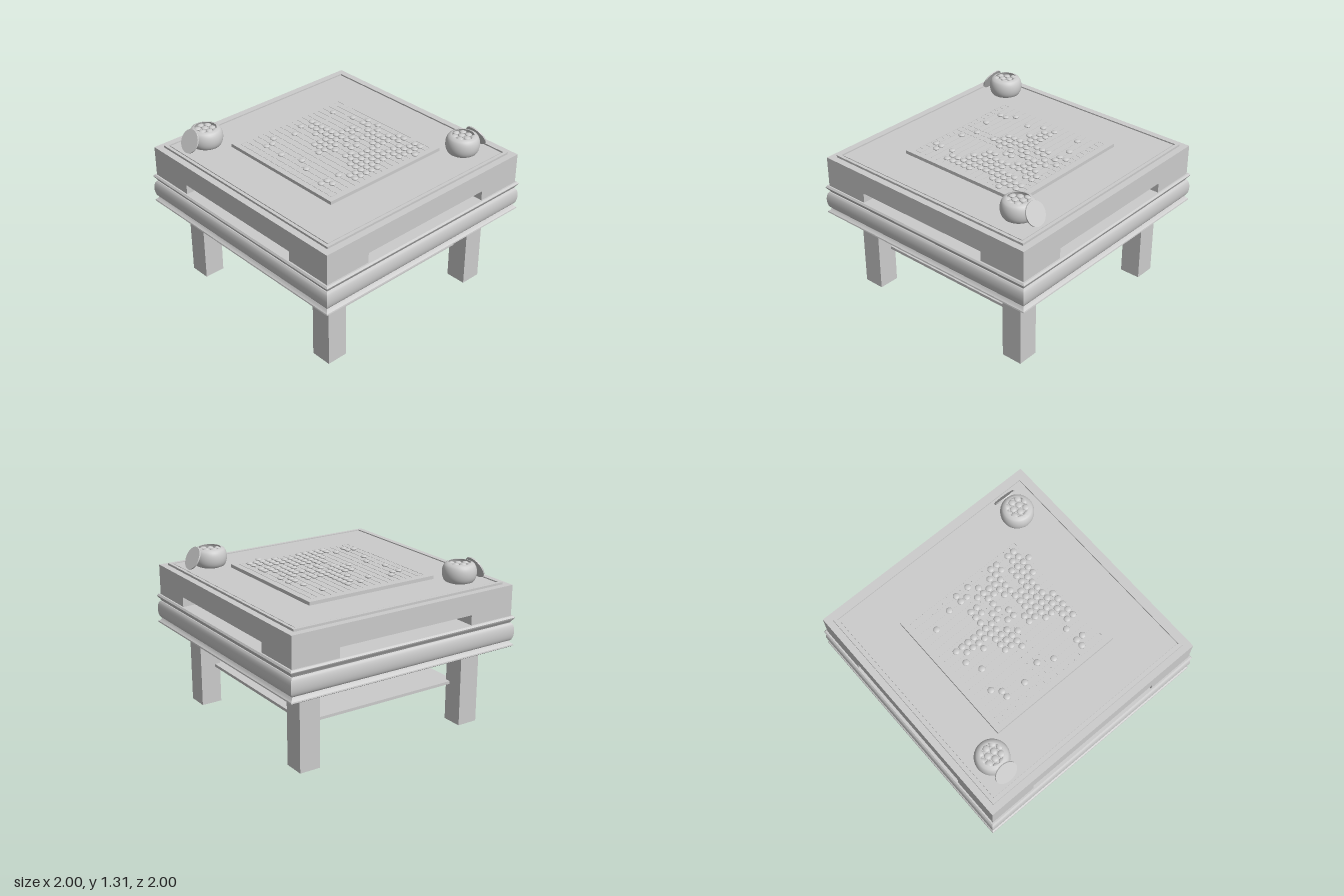
import * as THREE from 'three';
import { toCreasedNormals } from 'three/addons/utils/BufferGeometryUtils.js';

const material = new THREE.MeshStandardMaterial({ color: 0xcccccc });
const stoneGeometry = new THREE.SphereGeometry(1, 16, 10).scale(0.026, 0.0115, 0.026);

// Stones on the board, one string per grid row from back to front
const LAYOUT = [
  '...................',
  '.......o.o...oo.oo.',
  '.....o.oo.o.ooo.oo.',
  '..o......ooooo.oooo',
  '.......oo.oooo.ooo.',
  '.......oo.o.oo.ooo.',
  '.......o.oo..oooo..',
  '..oooooooo.o.oooo..',
  '...oooooo..oo.oooo.'.replace('..oo.oooo.', '.oo.oooo..') + '',
  '..o..o.ooo..oooooo.',
  '.......oooo.oo.ooo.'.replace('oo.ooo.', 'oooooo.'),
  '...o...ooo....oooo.',
  '.........o......oo.',
  '................oo.',
  '..o............o...',
  '...o.....o.........',
  '...o..o....o...oo..',
  '...............o...',
  '...................',
];
const STEP = 0.0565;
const gridX = (i) => -0.508 + i * STEP;
const gridZ = (j) => -0.512 + j * STEP;

function add(parent, name, geometry, x = 0, y = 0, z = 0) {
  const mesh = new THREE.Mesh(geometry, material);
  mesh.name = name;
  mesh.position.set(x, y, z);
  parent.add(mesh);
  return mesh;
}

// Box given by its bottom and top heights
function slab(parent, name, w, d, y0, y1, x = 0, z = 0) {
  return add(parent, name, new THREE.BoxGeometry(w, y1 - y0, d), x, (y0 + y1) / 2, z);
}

// Profile of [half width, height] swept round a square
function squareSweep(profile) {
  const points = profile.map(([r, y]) => new THREE.Vector2(r * Math.SQRT2, y));
  return toCreasedNormals(new THREE.LatheGeometry(points, 4, Math.PI / 4), 0.5);
}

function buildBowl(name, x, z, side) {
  const bowl = new THREE.Group();
  bowl.name = name;
  bowl.position.set(x, 1.145, z);

  // Round wall with a hollow inside
  const profile = [[0, 0], [0.085, 0]];
  for (let i = 1; i <= 14; i++) {
    const y = (i / 14) * 0.15;
    const t = (y - 0.075) / 0.075;
    profile.push([0.09 + 0.041 * Math.sqrt(Math.max(0, 1 - t * t)), y]);
  }
  profile.push([0.084, 0.15], [0.1, 0.12], [0.1, 0.1], [0, 0.1]);
  const wall = new THREE.LatheGeometry(profile.map(([r, y]) => new THREE.Vector2(r, y)), 40);
  add(bowl, 'bowlWall', toCreasedNormals(wall, 0.7));

  // Stones packed in staggered rows
  for (let row = 0; row < 4; row++) {
    for (let i = -2; i <= 2; i++) {
      const sx = (i + (row % 2) * 0.5) * 0.056;
      const sz = (row - 1.3) * 0.048;
      if (Math.hypot(sx, sz) < 0.09) add(bowl, 'bowlStone', stoneGeometry, sx, 0.125, sz);
    }
  }

  // Lid leaning against the bowl
  const lid = add(bowl, 'bowlLid', new THREE.CylinderGeometry(0.092, 0.092, 0.01, 40), 0, 0.085, side * 0.152);
  lid.rotation.x = side * 1.08;
  return bowl;
}

export function createModel() {
  const model = new THREE.Group();
  model.name = 'boardGameTable';

  // Legs and the corner posts above the moulding
  for (const sx of [-1, 1]) {
    for (const sz of [-1, 1]) {
      slab(model, 'leg', 0.17, 0.17, 0, 0.65, sx * 0.73, sz * 0.73);
      slab(model, 'cornerPost', 0.39, 0.39, 0.88, 0.965, sx * 0.783, sz * 0.783);
    }
  }
  slab(model, 'shelf', 1.38, 1.38, 0.307, 0.33);

  // Moulding with a rounded belly between two lips
  const moulding = [[0, 0.638], [0.985, 0.638], [1, 0.648], [0.998, 0.658], [0.985, 0.668], [0.975, 0.687]];
  for (let i = 1; i <= 12; i++) {
    const a = (i / 12) * Math.PI;
    moulding.push([0.975 + 0.025 * Math.sin(a), 0.759 - 0.072 * Math.cos(a)]);
  }
  moulding.push([0.983, 0.846], [0.997, 0.863], [1, 0.873], [0.99, 0.886], [0, 0.886]);
  add(model, 'moulding', squareSweep(moulding));

  // Table top with a raised rim and a shallow groove
  slab(model, 'tableTop', 1.956, 1.956, 0.965, 1.13);
  add(model, 'rim', squareSweep([
    [0.925, 1.125], [0.925, 1.147], [0.9, 1.147], [0.9, 1.135], [0.89, 1.135], [0.89, 1.143], [0, 1.143],
  ]));

  // Playing board
  const board = new THREE.Group();
  board.name = 'playingBoard';
  model.add(board);
  slab(board, 'boardSlab', 1.12, 1.12, 1.14, 1.17, -0.004, -0.006);

  // Grid lines: long rows, centre columns and short ticks at both ends
  const span = 18 * STEP;
  for (let i = 0; i < 19; i++) {
    slab(board, 'rowLine', span, 0.005, 1.168, 1.172, gridX(9), gridZ(i));
    if (i >= 8 && i <= 10) {
      slab(board, 'columnLine', 0.005, span, 1.168, 1.1715, gridX(i), gridZ(9));
    } else {
      for (const j of [0.5, 17.5]) {
        slab(board, 'columnTick', 0.005, STEP, 1.168, 1.1715, gridX(i), gridZ(j));
      }
    }
  }

  // Stones in play
  LAYOUT.forEach((row, j) => [...row].forEach((c, i) => {
    if (c === 'o') add(board, 'stone', stoneGeometry, gridX(i), 1.181, gridZ(j));
  }));

  // Stone bowls at opposite corners
  model.add(buildBowl('frontBowl', -0.72, 0.673, 1));
  model.add(buildBowl('backBowl', 0.683, -0.678, -1));
  return model;
}
